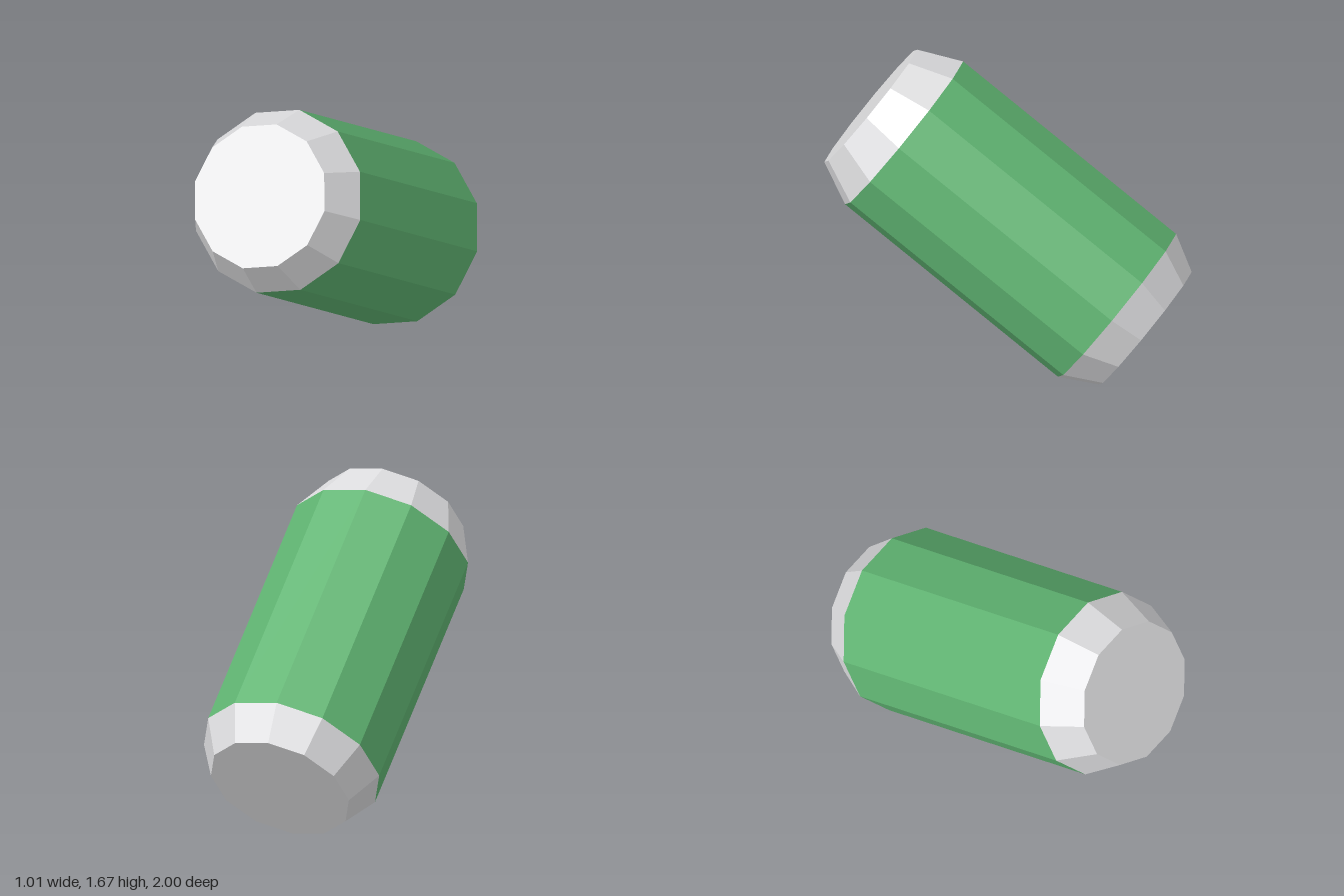
import * as THREE from 'three';

const SIDES = 12;
const BODY_R = 0.498, LID_R = 0.392;
// Heights along the can's own axis, measured from its middle
const TOP = 0.938, TOP_SHOULDER = 0.71, BOTTOM_SHOULDER = -0.746, BOTTOM = -0.938;

export function createModel() {
  const green = new THREE.MeshStandardMaterial({ color: 0x5fb371, flatShading: true });
  green.name = 'label green';
  const silver = new THREE.MeshStandardMaterial({ color: 0xdedee0, flatShading: true });
  silver.name = 'silver';

  const can = new THREE.Group();
  can.name = 'can';

  function add(name, geometry, material) {
    const mesh = new THREE.Mesh(geometry, material);
    mesh.name = name;
    can.add(mesh);
  }

  // Open ring of faces between two heights
  function ring(name, y0, r0, y1, r1, material) {
    const g = new THREE.CylinderGeometry(r1, r0, y1 - y0, SIDES, 1, true);
    add(name, g.translate(0, (y0 + y1) / 2, 0), material);
  }

  // Flat end disc facing along the axis (dir = 1 up, -1 down)
  function lid(name, y, dir) {
    const g = new THREE.CircleGeometry(LID_R, SIDES);
    add(name, g.rotateX(-dir * Math.PI / 2).translate(0, y, 0), silver);
  }

  ring('body', BOTTOM_SHOULDER, BODY_R, TOP_SHOULDER, BODY_R, green);
  ring('topShoulder', TOP_SHOULDER, BODY_R, TOP, LID_R, silver);
  ring('bottomShoulder', BOTTOM, LID_R, BOTTOM_SHOULDER, BODY_R, silver);
  lid('topLid', TOP, 1);
  lid('bottomLid', BOTTOM, -1);

  // Lean the can forward, with a slight roll about its axis
  const axis = new THREE.Vector3(0.0133, 0.54, 0.842).normalize();
  const side = new THREE.Vector3(1, 0.043, -0.0434);
  side.addScaledVector(axis, -side.dot(axis)).normalize();
  const back = new THREE.Vector3().crossVectors(side, axis);
  can.quaternion.setFromRotationMatrix(new THREE.Matrix4().makeBasis(side, axis, back));
  can.position.y = 0.838;

  const model = new THREE.Group();
  model.name = 'tiltedCan';
  model.add(can);
  return model;
}
